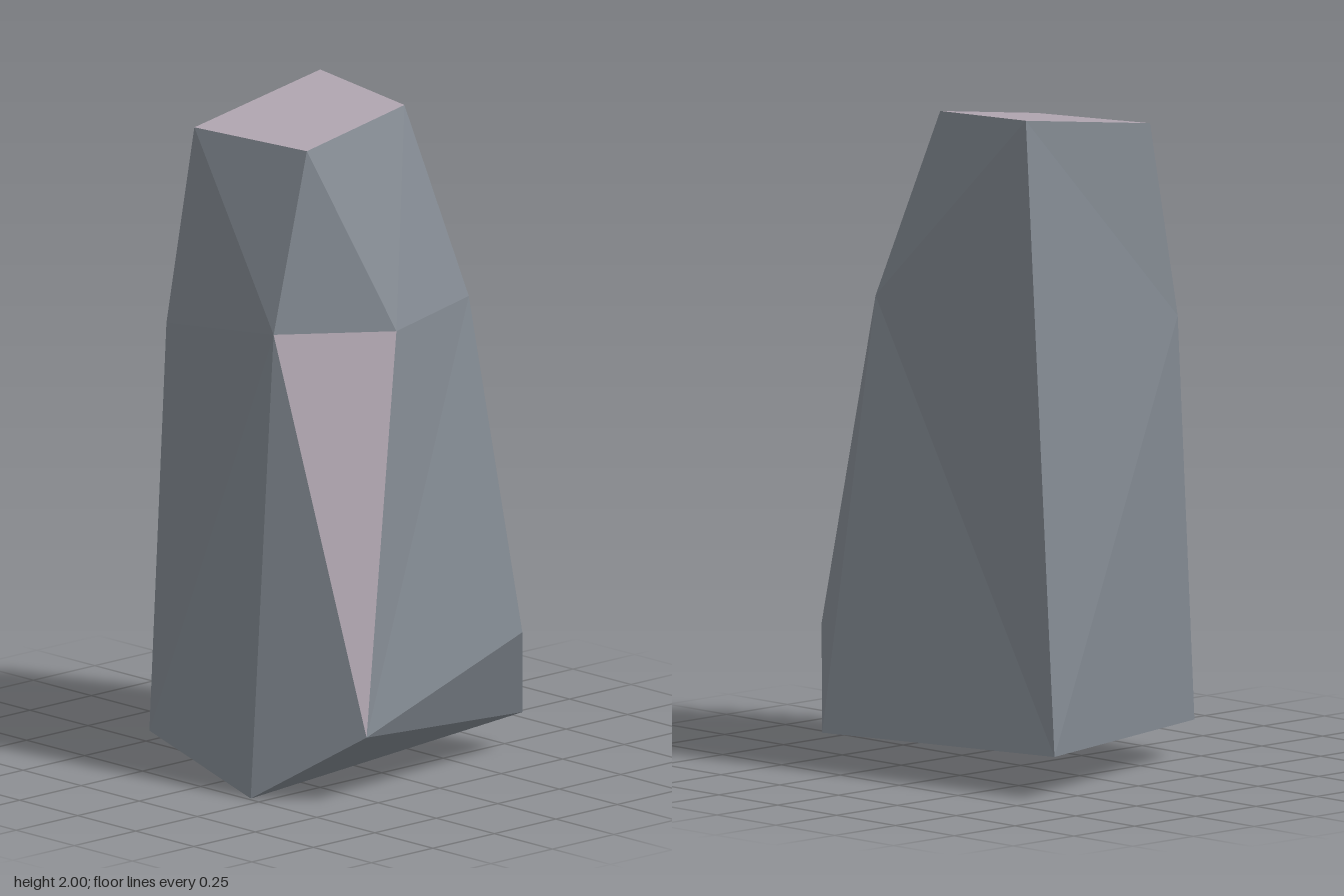
import * as THREE from 'three';

// Corner rings of the rock: top, shoulder and base
const P = {
  topBL: [-0.29, 2.0, -0.26], topBR: [0.115, 1.975, -0.22],
  topFR: [0.145, 1.915, 0.205], topFL: [-0.26, 1.925, 0.28],
  midFL: [-0.285, 1.34, 0.37], midF: [0.15, 1.38, 0.345],
  midR: [0.34, 1.37, 0.025], midBR: [0.297, 1.41, -0.31],
  lowBL: [-0.51, 0.13, -0.355], lowFL: [-0.26, 0.115, 0.463],
  lowF: [0.205, 0, 0.49], lowR: [0.508, 0.21, 0.305],
  lowBR: [0.338, 0.115, -0.49], heel: [0.482, 0.41, -0.353],
};

// Facets listed counter-clockwise from outside
const stoneFacets = {
  frontFacets: ['topFL midFL midF', 'topFL midF topFR', 'midFL lowFL midF', 'lowFL lowF midF', 'midF lowF lowR'],
  rightFacets: ['topFR midF midR', 'topFR midR topBR', 'topBR midR midBR', 'midR lowR midBR',
    'midBR lowR heel', 'lowR lowBR heel', 'midBR heel lowBR'],
  backFacets: ['topBL topBR midBR', 'topBL midBR lowBL', 'midBR lowBR lowBL'],
  leftFacets: ['topBL lowBL midFL', 'lowBL lowFL midFL', 'topBL midFL topFL'],
  baseFacets: ['lowBL lowBR lowF', 'lowBL lowF lowFL', 'lowF lowBR lowR'],
};
const paleFacets = {
  topFacet: ['topBL topFL topFR', 'topBL topFR topBR'],
  ledgeFacet: ['midF lowR midR'],
};

function facetMesh(name, facets, material) {
  const positions = facets.flatMap((f) => f.split(' ').flatMap((k) => P[k]));
  const geometry = new THREE.BufferGeometry();
  geometry.setAttribute('position', new THREE.Float32BufferAttribute(positions, 3));
  geometry.computeVertexNormals(); // unshared corners give flat facets
  const mesh = new THREE.Mesh(geometry, material);
  mesh.name = name;
  return mesh;
}

export function createModel() {
  const stone = new THREE.MeshStandardMaterial({ color: 0x828991 });
  stone.name = 'slate grey stone';
  const pale = new THREE.MeshStandardMaterial({ color: 0xb0a5b0 });
  pale.name = 'pale mauve stone';

  const rock = new THREE.Group();
  rock.name = 'standingRock';
  for (const [name, f] of Object.entries(stoneFacets)) rock.add(facetMesh(name, f, stone));
  for (const [name, f] of Object.entries(paleFacets)) rock.add(facetMesh(name, f, pale));
  return rock;
}
